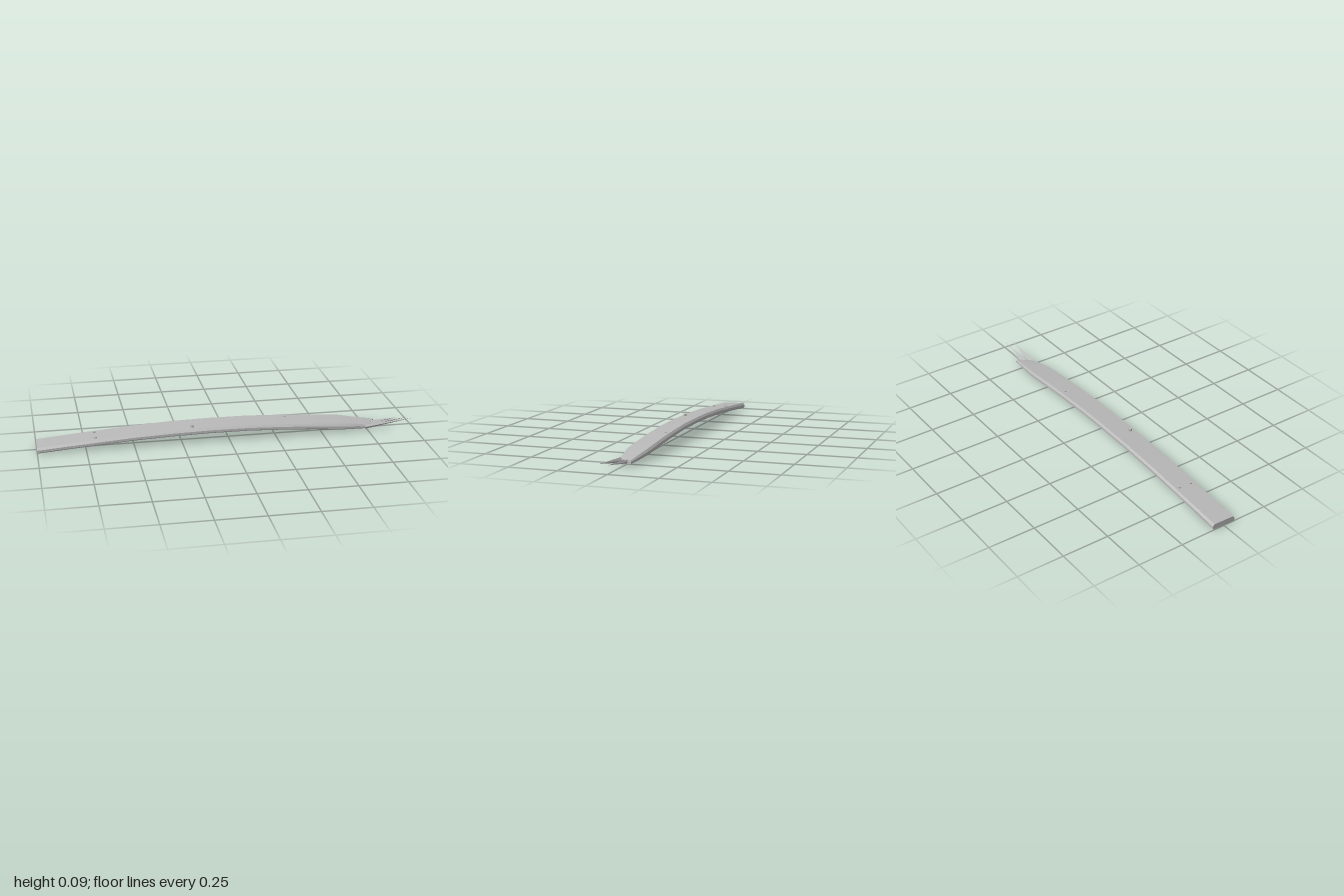
import * as THREE from 'three';

// Stations along the plank: x, bottom y, top y, front z, back z, tilt (back edge raised by 2x tilt)
const STATIONS = [
  [-1.0, 0.003, 0.033, 0.064, -0.068, 0.002],
  [-0.85, 0.016, 0.045, 0.065, -0.068, 0.003],
  [-0.7, 0.028, 0.056, 0.066, -0.068, 0.004],
  [-0.5, 0.042, 0.071, 0.066, -0.068, 0.005],
  [-0.3, 0.051, 0.080, 0.066, -0.068, 0.006],
  [-0.1, 0.055, 0.084, 0.066, -0.068, 0.006],
  [0.1, 0.054, 0.083, 0.066, -0.068, 0.006],
  [0.3, 0.046, 0.075, 0.066, -0.068, 0.006],
  [0.45, 0.036, 0.066, 0.065, -0.068, 0.006],
  [0.61, 0.022, 0.053, 0.062, -0.067, 0.006],
  [0.69, 0.015, 0.042, 0.050, -0.056, 0.006],
  [0.78, 0.010, 0.027, 0.038, -0.042, 0.006],
];

// Chamfered eight-sided section running from the front side over the top to the back
function section([x, y0, y1, zf, zb, tilt], index) {
  const h = y1 - y0, c = Math.min(0.009, h * 0.3), b = Math.min(0.006, h * 0.2);
  const last = index === STATIONS.length - 1;
  const outline = [
    [zf, y0 + b], [zf, y1 - c * 1.3], [zf - c, y1], [zb + c, y1],
    [zb, y1 - c * 1.3], [zb, y0 + b], [zb + b, y0], [zf - b, y0],
  ];
  return outline.map(([z, y]) => new THREE.Vector3(
    last ? x - z * 0.6 : x, Math.max(0, y - (z / 0.067) * tilt), z));
}

// Each lengthwise strip keeps its own vertices: smooth along the bend, crisp at the chamfers
function plankGeometry() {
  const rings = STATIONS.map(section), n = rings[0].length;
  const pos = [], idx = [];
  for (let i = 0; i < n; i++) {
    const base = pos.length / 3;
    rings.forEach((r, k) => {
      pos.push(...r[i].toArray(), ...r[(i + 1) % n].toArray());
      if (k === 0) return;
      const a = base + (k - 1) * 2, d = a + 2;
      idx.push(a, d, d + 1, a, d + 1, a + 1);
    });
  }
  // End caps
  [rings[0], rings[rings.length - 1]].forEach((r, end) => {
    const base = pos.length / 3;
    r.forEach((p) => pos.push(...p.toArray()));
    for (let i = 1; i < n - 1; i++) {
      idx.push(base, base + (end ? i + 1 : i), base + (end ? i : i + 1));
    }
  });
  const g = new THREE.BufferGeometry();
  g.setAttribute('position', new THREE.Float32BufferAttribute(pos, 3));
  g.setIndex(idx);
  g.computeVertexNormals();
  return g;
}

// Height of the top surface at a point on the plank
function topY(x, z) {
  const k = STATIONS.findIndex((s) => s[0] > x);
  const a = STATIONS[k - 1], b = STATIONS[k], t = (x - a[0]) / (b[0] - a[0]);
  const mix = (j) => a[j] + (b[j] - a[j]) * t;
  return mix(2) - (z / 0.067) * mix(5);
}

export function createModel() {
  const group = new THREE.Group();
  group.name = 'brokenPlank';
  const wood = new THREE.MeshStandardMaterial({ color: 0xb8b8b8 });
  wood.name = 'grey';
  const splinterMat = wood.clone();
  splinterMat.flatShading = true;
  splinterMat.name = 'grey splinter';

  const add = (geometry, material, name) => {
    const mesh = new THREE.Mesh(geometry, material);
    mesh.name = name;
    group.add(mesh);
    return mesh;
  };

  add(plankGeometry(), wood, 'plank');

  // Nails: x, z, height above the surface, lean
  [
    [-0.7, -0.04, 0.006, 0], [-0.7, 0.03, 0.006, 0],
    [-0.195, 0.033, 0.013, 0], [0.31, -0.037, 0.003, 0.12],
  ].forEach(([x, z, up, lean]) => {
    const nail = add(new THREE.CylinderGeometry(0.008, 0.008, up + 0.01, 10), wood, 'nail');
    nail.position.set(x, topY(x, z) + (up - 0.01) / 2, z);
    nail.rotation.z = -lean;
  });

  // Splinters: base point, tip point, half width, half height
  [
    [[0.74, 0.017, 0.036], [1.0, 0.048, 0.037], 0.010, 0.013],
    [[0.75, 0.018, 0.024], [0.88, 0.034, 0.030], 0.007, 0.010],
    [[0.77, 0.018, 0.004], [0.99, 0.041, 0.002], 0.007, 0.010],
    [[0.77, 0.020, -0.012], [0.94, 0.037, -0.018], 0.008, 0.010],
  ].forEach(([from, to, w, h]) => {
    const a = new THREE.Vector3(...from), b = new THREE.Vector3(...to);
    const dir = b.clone().sub(a);
    const g = new THREE.ConeGeometry(1, dir.length(), 4).scale(h, 1, w);
    const splinter = add(g, splinterMat, 'splinter');
    splinter.position.copy(a).add(b).multiplyScalar(0.5);
    splinter.quaternion.setFromUnitVectors(new THREE.Vector3(0, 1, 0), dir.normalize());
  });

  return group;
}
